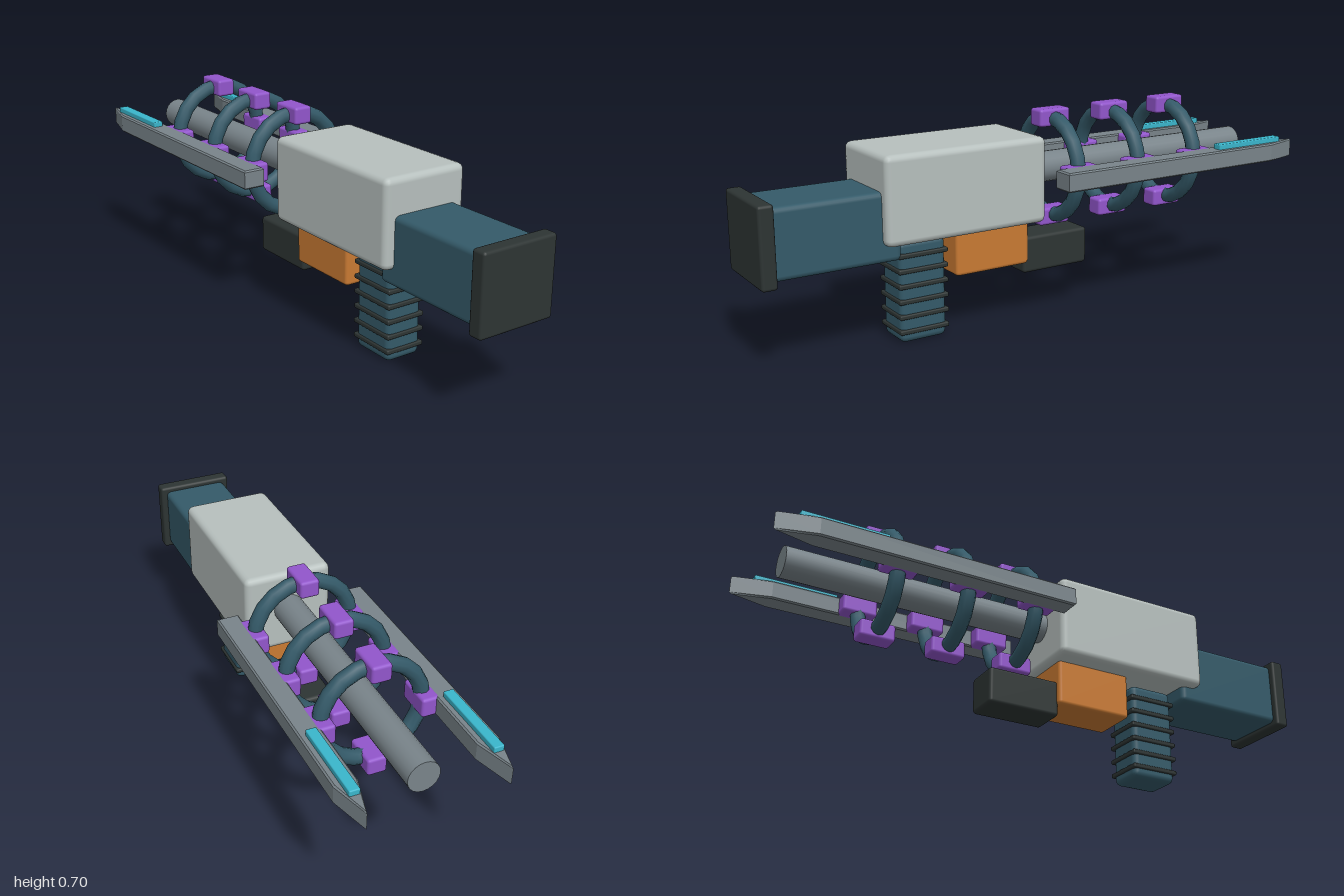
import * as THREE from 'three';
import { RoundedBoxGeometry } from 'three/addons/geometries/RoundedBoxGeometry.js';

const material = (name, color, flatShading = false) => {
  const m = new THREE.MeshStandardMaterial({ color, flatShading });
  m.name = name;
  return m;
};

export function createModel() {
  const model = new THREE.Group();
  model.name = 'coilRifle';

  const teal = material('teal', 0x345a69);
  const shell = material('pale grey', 0xb7c0be);
  const steel = material('steel grey', 0x79848a);
  const black = material('charcoal', 0x2d3433);
  const orange = material('orange', 0xc97a33);
  const purple = material('purple', 0x9256cc);
  const cyan = material('cyan', 0x3ab6cc);

  const add = (name, geometry, mat, parent = model) => {
    const mesh = new THREE.Mesh(geometry, mat);
    mesh.name = name;
    parent.add(mesh);
    return mesh;
  };
  // Rounded box from its minimum and maximum corners
  const box = (name, mat, x, y, z, radius, parent) => {
    const g = new RoundedBoxGeometry(x[1] - x[0], y[1] - y[0], z[1] - z[0], 2, radius);
    const mesh = add(name, g, mat, parent);
    mesh.position.set((x[0] + x[1]) / 2, (y[0] + y[1]) / 2, (z[0] + z[1]) / 2);
    return mesh;
  };

  // Receiver, stock and underside
  box('body', shell, [-0.152, 0.152], [0.35, 0.637], [0.028, 0.605], 0.022);
  box('stock', teal, [-0.117, 0.117], [0.296, 0.521], [0.54, 0.96], 0.018);
  box('buttPad', black, [-0.137, 0.137], [0.28, 0.537], [0.95, 1.0], 0.01);
  box('magazine', orange, [-0.083, 0.083], [0.196, 0.36], [0.055, 0.33], 0.012);
  box('foregrip', black, [-0.064, 0.064], [0.155, 0.281], [-0.196, 0.062], 0.012);

  // Handle with ribs
  box('grip', teal, [-0.065, 0.065], [0, 0.338], [0.36, 0.524], 0.02);
  for (let i = 0; i < 6; i++) {
    const y = 0.038 + i * 0.0506;
    box('gripRib', black, [-0.071, 0.071], [y - 0.008, y + 0.008], [0.354, 0.53], 0.005);
  }

  // Barrel
  const barrelGeometry = new THREE.CylinderGeometry(0.052, 0.052, 0.98, 20);
  barrelGeometry.rotateX(Math.PI / 2);
  add('barrel', barrelGeometry, steel).position.set(0, 0.5, -0.41);

  // Coil rings, each with four clamps
  for (const z of [-0.085, -0.332, -0.578]) {
    const coil = new THREE.Group();
    coil.name = 'coil';
    coil.position.set(0, 0.5, z);
    model.add(coil);
    add('ring', new THREE.TorusGeometry(0.169, 0.026, 10, 20), teal, coil);
    for (let i = 0; i < 4; i++) {
      const a = (i * Math.PI) / 2;
      const clamp = add('clamp', new RoundedBoxGeometry(0.06, 0.066, 0.12, 2, 0.01), purple, coil);
      clamp.position.set(Math.cos(a) * 0.17, Math.sin(a) * 0.17, 0);
      clamp.rotation.z = a;
    }
  }

  // Pointed side rails with glowing strips
  const b = 0.005;
  const outline = new THREE.Shape([
    [-0.032, -0.01], [0.032, -0.01], [0.032, 0.865], [0, 0.988], [-0.032, 0.865],
  ].map(([x, y]) => new THREE.Vector2(x, y)));
  const railGeometry = new THREE.ExtrudeGeometry(outline, {
    depth: 0.064 - 2 * b, bevelEnabled: true, bevelThickness: b, bevelSize: b, bevelSegments: 1,
  });
  railGeometry.rotateX(-Math.PI / 2);
  // Keep the tip at the front limit of the model
  const p = railGeometry.attributes.position;
  for (let i = 0; i < p.count; i++) p.setZ(i, Math.max(p.getZ(i), -1));
  railGeometry.computeVertexNormals();
  for (const side of [-1, 1]) {
    const x = side * 0.223;
    add('rail', railGeometry, steel).position.set(x, 0.468 + b, 0);
    box('railStrip', cyan, [x - 0.017, x + 0.017], [0.525, 0.55], [-0.922, -0.637], 0.004);
  }

  return model;
}
